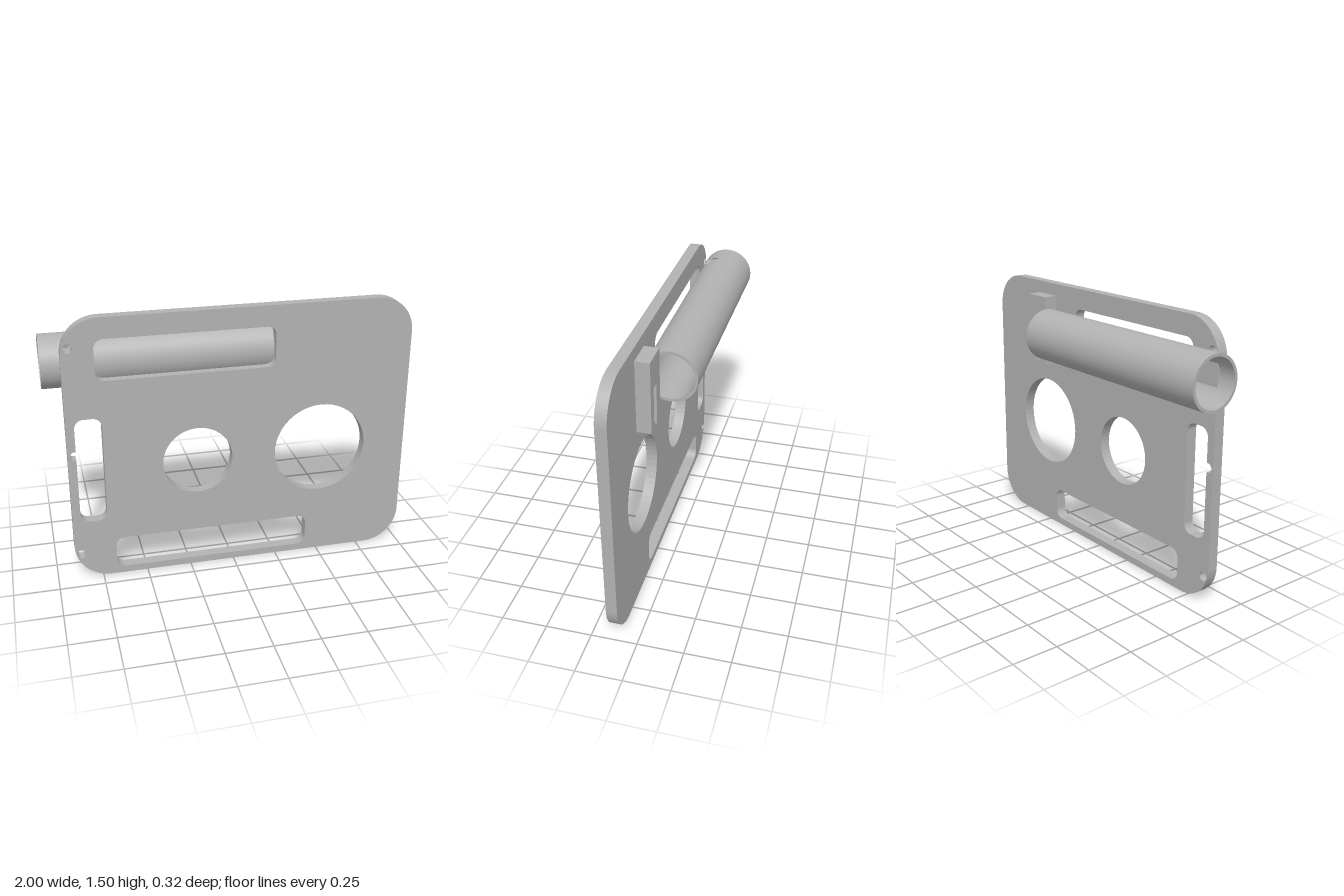
import * as THREE from 'three';
import { ParametricGeometry } from 'three/addons/geometries/ParametricGeometry.js';

const Z_BACK = 0.1, Z_FRONT = 0.16;                    // plate faces
const PIN = { x: -0.863, r: 0.025, ys: [0.15, 0.75, 1.347] };
const TUBE = { y: 1.232, z: -0.013, R: 0.144, r: 0.128, x0: -1, x1: 0.35 };

// Rounded rectangle, counterclockwise, with an optional round notch in its left edge
function roundedRect(path, x0, y0, x1, y1, r, notch) {
  path.moveTo(x0 + r, y0);
  path.lineTo(x1 - r, y0);
  path.absarc(x1 - r, y0 + r, r, -Math.PI / 2, 0, false);
  path.lineTo(x1, y1 - r);
  path.absarc(x1 - r, y1 - r, r, 0, Math.PI / 2, false);
  path.lineTo(x0 + r, y1);
  path.absarc(x0 + r, y1 - r, r, Math.PI / 2, Math.PI, false);
  if (notch) {
    const a = Math.acos((x0 - notch.x) / notch.r);
    path.absarc(notch.x, notch.y, notch.r, a, 2 * Math.PI - a, false);
  }
  path.lineTo(x0, y0 + r);
  path.absarc(x0 + r, y0 + r, r, Math.PI, Math.PI * 1.5, false);
  return path;
}

function circle(x, y, r) {
  return new THREE.Path().absarc(x, y, r, 0, Math.PI * 2, false);
}

// Point on a cylinder around the tube axis; angle 0 faces the front, 90 degrees is up
function onTube(x, angle, radius, target) {
  return target.set(x, TUBE.y + radius * Math.sin(angle), TUBE.z + radius * Math.cos(angle));
}

export function createModel() {
  const group = new THREE.Group();
  const grey = new THREE.MeshStandardMaterial({ color: 0xb2b2b2, side: THREE.DoubleSide });
  grey.name = 'grey';
  const add = (name, geometry, parent = group) => {
    const mesh = new THREE.Mesh(geometry, grey);
    mesh.name = name;
    parent.add(mesh);
    return mesh;
  };

  // Plate with slots, two large round holes and pin holes
  const plate = roundedRect(new THREE.Shape(), -0.9, 0, 1, 1.5, 0.2);
  plate.holes.push(
    roundedRect(new THREE.Path(), -0.73, 1.16, 0.23, 1.385, 0.05),
    roundedRect(new THREE.Path(), -0.67, 0.04, 0.43, 0.225, 0.05),
    roundedRect(new THREE.Path(), -0.855, 0.35, -0.71, 0.955, 0.05, { x: PIN.x, y: PIN.ys[1], r: PIN.r }),
    circle(-0.2, 0.652, 0.193),
    circle(0.498, 0.652, 0.262),
    circle(PIN.x, PIN.ys[0], PIN.r),
    circle(PIN.x, PIN.ys[2], PIN.r),
  );
  add('plate', new THREE.ExtrudeGeometry(plate, {
    depth: Z_FRONT - Z_BACK, bevelEnabled: false, curveSegments: 24,
  })).position.z = Z_BACK;

  // Forked block on the back, its slot open at the bottom
  const fork = new THREE.Shape([
    [0.42, 1.03], [0.48, 1.03], [0.48, 1.265], [0.53, 1.265],
    [0.53, 1.03], [0.58, 1.03], [0.58, 1.43], [0.42, 1.43],
  ].map(([x, y]) => new THREE.Vector2(x, y)));
  add('forkBlock', new THREE.ExtrudeGeometry(fork, { depth: 0.08, bevelEnabled: false }))
    .position.z = 0.022;

  // Tube: plain lengths around a short collar whose upper front is pierced by the top pin hole
  const tube = new THREE.Group();
  tube.name = 'tube';
  group.add(tube);
  const c0 = -0.9, c1 = -0.826;                        // collar ends
  const a0 = Math.PI / 6, a1 = Math.PI * 0.6;          // pierced patch angles
  const sheet = (name, radius, x0, x1, from, to, steps) =>
    add(name, new ParametricGeometry((u, v, p) =>
      onTube(x0 + (x1 - x0) * v, from + (to - from) * u, radius, p), steps, 1), tube);

  // Rim of the pin hole where it meets a cylinder of the given radius
  const rim = (t, radius) => {
    const s = (PIN.ys[2] + PIN.r * Math.sin(t) - TUBE.y) / radius;
    return [PIN.x + PIN.r * Math.cos(t), Math.asin(Math.min(1, s))];
  };

  for (const [name, radius] of [['tubeOuter', TUBE.R], ['tubeInner', TUBE.r]]) {
    sheet(name + 'End', radius, TUBE.x0, c0, a0, a0 + Math.PI * 2, 72);
    sheet(name + 'Length', radius, c1, TUBE.x1, a0, a0 + Math.PI * 2, 72);
    sheet(name + 'Collar', radius, c0, c1, a1, a0 + Math.PI * 2, 60);
    add(name + 'Patch', new ParametricGeometry((u, v, p) => {
      const t = u * Math.PI * 2, [hx, ha] = rim(t, radius);
      const k = 1 / Math.max(Math.abs(Math.cos(t)), Math.abs(Math.sin(t)));
      const bx = (c0 + c1) / 2 + (c1 - c0) / 2 * k * Math.cos(t);
      const ba = (a0 + a1) / 2 + (a1 - a0) / 2 * k * Math.sin(t);
      return onTube(hx + (bx - hx) * v, ha + (ba - ha) * v, radius, p);
    }, 64, 8), tube);
  }

  // Wall of the pin hole through the tube
  const inner = new THREE.Vector3();
  add('tubePinHoleWall', new ParametricGeometry((u, v, p) => {
    const t = u * Math.PI * 2;
    onTube(...rim(t, TUBE.r), TUBE.r, inner);
    return onTube(...rim(t, TUBE.R), TUBE.R, p).lerp(inner, v);
  }, 48, 1), tube);

  // Flat end rings
  for (const [x, turn] of [[TUBE.x0, -1], [TUBE.x1, 1]]) {
    const ring = add('tubeEndRing', new THREE.RingGeometry(TUBE.r, TUBE.R, 72), tube);
    ring.rotation.y = turn * Math.PI / 2;
    ring.position.set(x, TUBE.y, TUBE.z);
  }

  return group;
}
